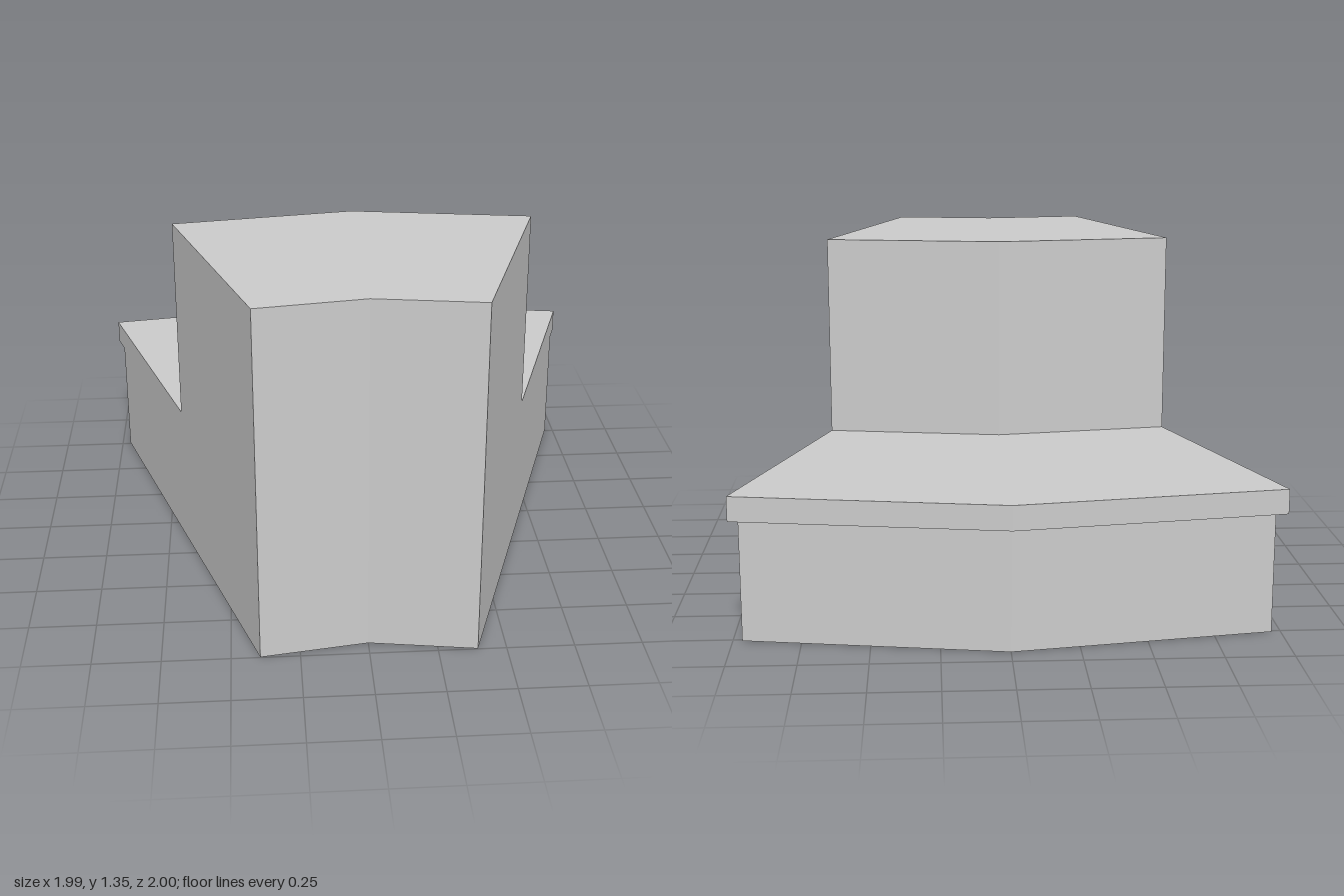
import * as THREE from 'three';

const CENTRE_Z = 2.213;                  // axis the wedge curves around
const HALF_ANGLE = Math.PI / 10;         // 18 degrees to each side

export function createModel() {
  const group = new THREE.Group();
  group.name = 'curvedBenchSegment';

  // Cross-section as (radius, height): tall inner block, low seat, overhanging lip
  const section = new THREE.Shape([
    [1.278, 0], [3.126, 0], [3.126, 0.475], [3.213, 0.475],
    [3.213, 0.567], [2.203, 0.567], [2.203, 1.35], [1.278, 1.35],
  ].map(([r, y]) => new THREE.Vector2(r, y)));

  // Extrude in two straight facets, then turn depth into angle about the axis
  const geometry = new THREE.ExtrudeGeometry(section, { depth: 2, steps: 2, bevelEnabled: false });
  const pos = geometry.attributes.position;
  for (let i = 0; i < pos.count; i++) {
    const r = pos.getX(i);
    const a = (pos.getZ(i) - 1) * HALF_ANGLE;
    pos.setXYZ(i, r * Math.sin(a), pos.getY(i), CENTRE_Z - r * Math.cos(a));
  }
  geometry.computeVertexNormals();

  const bench = new THREE.Mesh(
    geometry,
    new THREE.MeshStandardMaterial({ color: 0xcccccc, flatShading: true }),
  );
  bench.name = 'benchWithBackrest';
  group.add(bench);
  return group;
}
